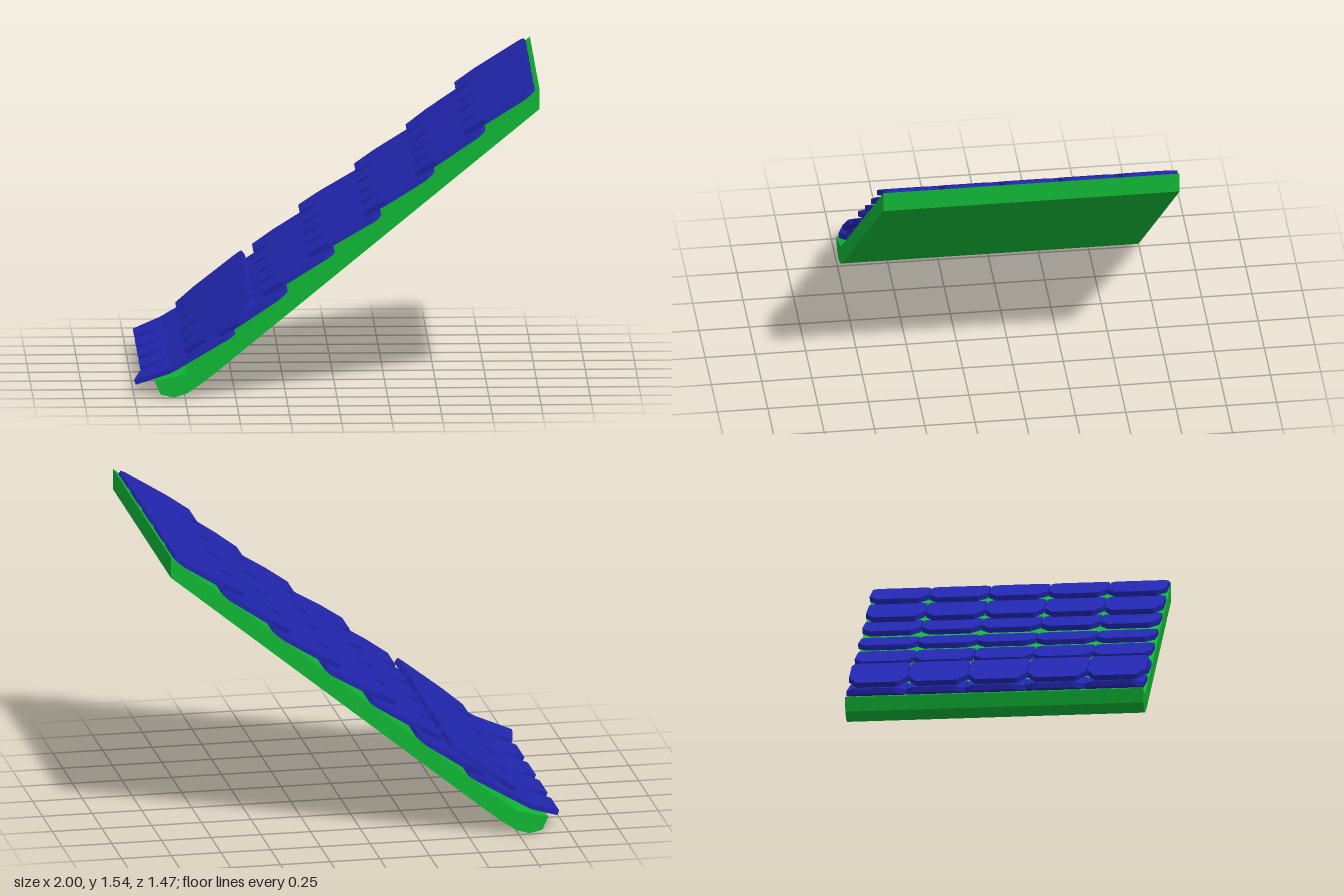
import * as THREE from 'three';

const green = new THREE.MeshStandardMaterial({ color: 0x10b434, flatShading: true });
const blue = new THREE.MeshStandardMaterial({ color: 0x2126ae, flatShading: true });

const THICK = 0.026;
const HALF = 0.145; // half width of a tile
const TIP = 0.102; // half width of its lower edge

// Flat plate: outline in (along slope, across), laid down and tilted between two points
function plate(points, from, angle, name) {
  const shape = new THREE.Shape(points.map(([u, v]) => new THREE.Vector2(u, v)));
  const geo = new THREE.ExtrudeGeometry(shape, { depth: THICK, bevelEnabled: false });
  geo.translate(0, 0, -THICK / 2);
  geo.rotateX(-Math.PI / 2);
  geo.rotateZ(angle);
  const mesh = new THREE.Mesh(geo, blue);
  mesh.position.set(from[0], from[1], 0);
  mesh.name = name;
  return mesh;
}

// Upper end of a tile with clipped, rounded corners
function upperEnd(L) {
  return [
    [L - 0.045, HALF], [L - 0.018, HALF - 0.008], [L - 0.004, HALF - 0.024], [L, HALF - 0.045],
  ];
}

function tileBody(from, to, taper, name) {
  const dx = to[0] - from[0], dy = to[1] - from[1];
  const L = Math.hypot(dx, dy);
  const side = taper > 0 ? [[0, TIP], [taper, HALF]] : [[0, HALF]];
  const upper = [...side, ...upperEnd(L)];
  const lower = upper.map(([u, v]) => [u, -v]).reverse();
  return plate([...lower, ...upper].reverse(), from, Math.atan2(dy, dx), name);
}

// Eave tile: a flatter tapered tip joined to a steeper body
function eaveTile(skew) {
  const tile = new THREE.Group();
  const bend = [-0.82, 0.135], angle = 0.36, L = 0.148;
  tile.add(tileBody(bend, [-0.508, 0.32], 0, 'eaveTileBody'));
  tile.add(plate(
    [[-L - skew, -TIP], [0, -HALF], [0, HALF], [-L, TIP]],
    bend, angle, 'eaveTileTip'));
  return tile;
}

export function createModel() {
  const model = new THREE.Group();

  // Sloped slab with a curled lower edge
  const profile = [
    [1, 1.54], [-0.58, 0.245], [-0.65, 0.19], [-0.74, 0.12], [-0.9, 0.08],
    [-0.87, 0.015], [-0.805, 0], [-0.74, 0.02], [-0.67, 0.068], [-0.59, 0.13], [1, 1.435],
  ];
  const slabGeo = new THREE.ExtrudeGeometry(
    new THREE.Shape(profile.map(([x, y]) => new THREE.Vector2(x, y))),
    { depth: 1.474, bevelEnabled: false });
  slabGeo.translate(0, 0, -0.737);
  const slab = new THREE.Mesh(slabGeo, green);
  slab.name = 'roofSlab';
  model.add(slab);

  // Overlapping rows: lower and upper end of each tile's mid-plane
  const rows = [
    [[-0.745, 0.215], [-0.416, 0.472]],
    [[-0.585, 0.3], [-0.245, 0.528]],
    [[-0.367, 0.505], [-0.016, 0.725]],
    [[-0.139, 0.7], [0.216, 0.907]],
    [[0.137, 0.905], [0.482, 1.12]],
    [[0.392, 1.1], [0.73, 1.33]],
    [[0.632, 1.31], [0.977, 1.527]],
  ];
  for (let c = 0; c < 5; c++) {
    const column = new THREE.Group();
    column.name = 'tileColumn' + (c + 1);
    column.position.z = (c - 2) * 0.295;
    const eave = eaveTile(c === 4 ? 0.04 : 0); // corner tile has a slanted tip
    eave.name = 'eaveTile';
    column.add(eave);
    rows.forEach(([from, to], r) => column.add(tileBody(from, to, 0.12, 'roofTile' + (r + 1))));
    model.add(column);
  }
  return model;
}
